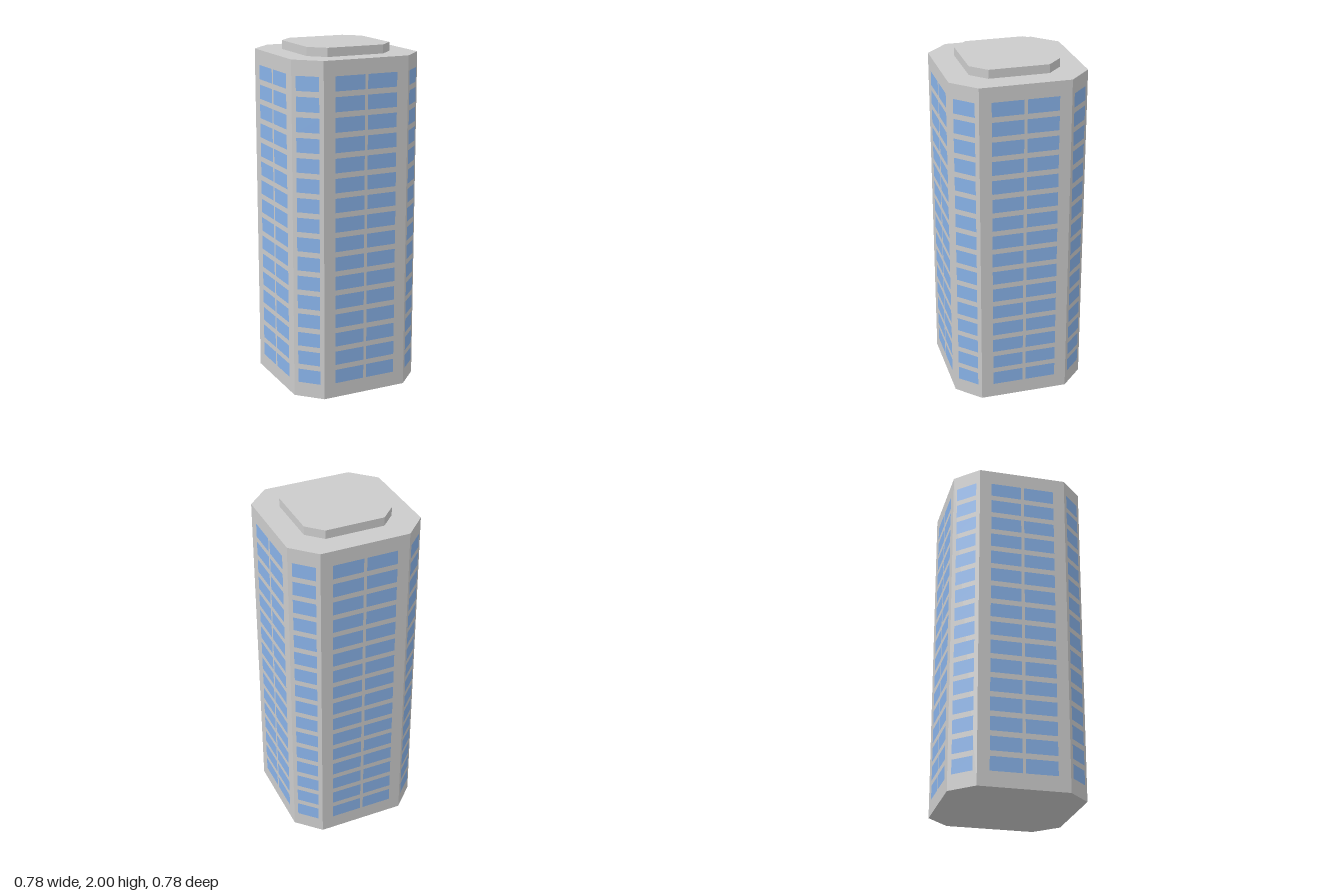
import * as THREE from 'three';
import { mergeGeometries } from 'three/addons/utils/BufferGeometryUtils.js';

const HALF = 0.389;    // half width of the tower
const CORNER = 0.258;  // where the flat faces meet the chamfers
const BODY_TOP = 1.95;
const FLOORS = 16;

// Upright prism with a chamfered square plan
function chamferedPrism(half, corner, y0, y1) {
  const plan = [
    [half, -corner], [half, corner], [corner, half], [-corner, half],
    [-half, corner], [-half, -corner], [-corner, -half], [corner, -half],
  ].map(([x, y]) => new THREE.Vector2(x, y));
  return new THREE.ExtrudeGeometry(new THREE.Shape(plan), { depth: y1 - y0, bevelEnabled: false })
    .rotateX(-Math.PI / 2)
    .translate(0, y0, 0);
}

// Column-by-floor grid of panes, set just proud of a wall at the given distance and heading
function windowGrid(columns, width, distance, angle) {
  const panes = [];
  for (let floor = 0; floor < FLOORS; floor++) {
    for (const x of columns) {
      panes.push(new THREE.PlaneGeometry(width, 0.082)
        .translate(x, 0.128 + floor * 0.113, distance + 0.001));
    }
  }
  return mergeGeometries(panes).rotateY(angle);
}

export function createModel() {
  const group = new THREE.Group();
  const concrete = new THREE.MeshStandardMaterial({ color: 0xcccccc, flatShading: true });
  const glass = new THREE.MeshStandardMaterial({ color: 0x88b2e8 });

  const add = (name, geometry, material) => {
    const mesh = new THREE.Mesh(geometry, material);
    mesh.name = name;
    group.add(mesh);
  };

  add('tower', chamferedPrism(HALF, CORNER, 0, BODY_TOP), concrete);
  add('roofBlock', chamferedPrism(0.257, 0.171, BODY_TOP, 2), concrete);

  // Two columns on each main face, one on each chamfer
  const chamferDistance = (HALF + CORNER) / Math.SQRT2;
  ['front', 'left', 'back', 'right'].forEach((side, i) => {
    const angle = i * Math.PI / 2;
    add(side + 'Windows', windowGrid([-0.099, 0.099], 0.18, HALF, angle), glass);
    add(side + 'CornerWindows', windowGrid([0], 0.134, chamferDistance, angle + Math.PI / 4), glass);
  });

  return group;
}
